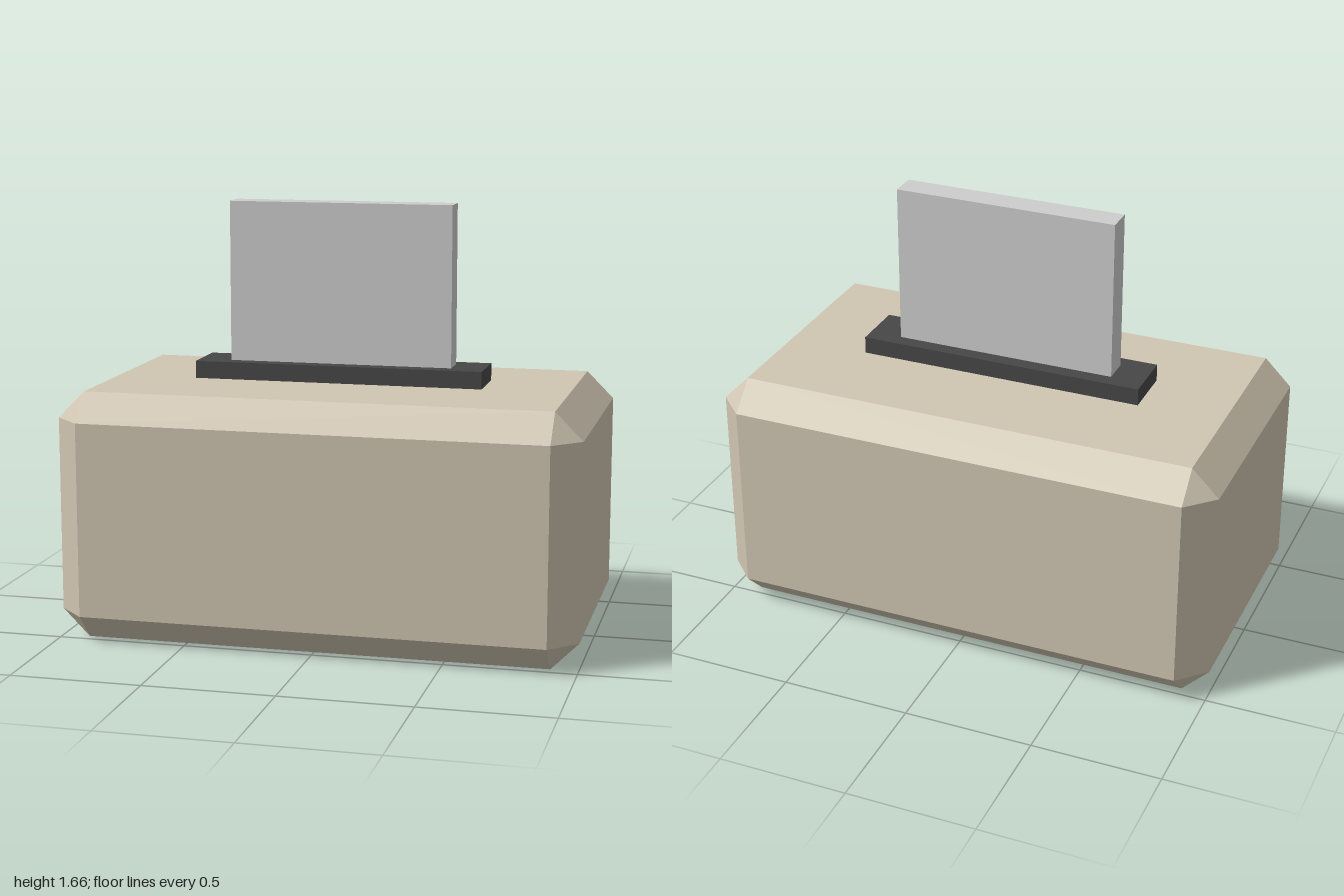
import * as THREE from 'three';
import { ConvexGeometry } from 'three/addons/geometries/ConvexGeometry.js';

const tan = new THREE.MeshStandardMaterial({ name: 'tan', color: 0xcfc5b1 });
const charcoal = new THREE.MeshStandardMaterial({ name: 'charcoal', color: 0x474747 });
const lightGrey = new THREE.MeshStandardMaterial({ name: 'lightGrey', color: 0xcdcdcd });

// Box with all edges and corners cut at 45 degrees, given by half sizes
function chamferedBox(hx, hy, hz, c) {
  const points = [];
  for (const sx of [-1, 1]) for (const sy of [-1, 1]) for (const sz of [-1, 1]) {
    points.push(
      new THREE.Vector3(sx * hx, sy * (hy - c), sz * (hz - c)),
      new THREE.Vector3(sx * (hx - c), sy * hy, sz * (hz - c)),
      new THREE.Vector3(sx * (hx - c), sy * (hy - c), sz * hz),
    );
  }
  return new ConvexGeometry(points);
}

export function createModel() {
  const model = new THREE.Group();
  model.name = 'slottedBox';

  const add = (name, geometry, material, y) => {
    const mesh = new THREE.Mesh(geometry, material);
    mesh.name = name;
    mesh.position.y = y;
    model.add(mesh);
  };

  // Chamfered body standing on the ground
  add('body', chamferedBox(1, 0.48, 0.567, 0.105), tan, 0.48);

  // Slot plate held just above the body
  add('slotPlate', new THREE.BoxGeometry(1.13, 0.067, 0.217), charcoal, 1.001);

  // Upright slab passing through the slot into the body
  add('slab', new THREE.BoxGeometry(0.874, 0.755, 0.104), lightGrey, 1.2785);

  return model;
}
